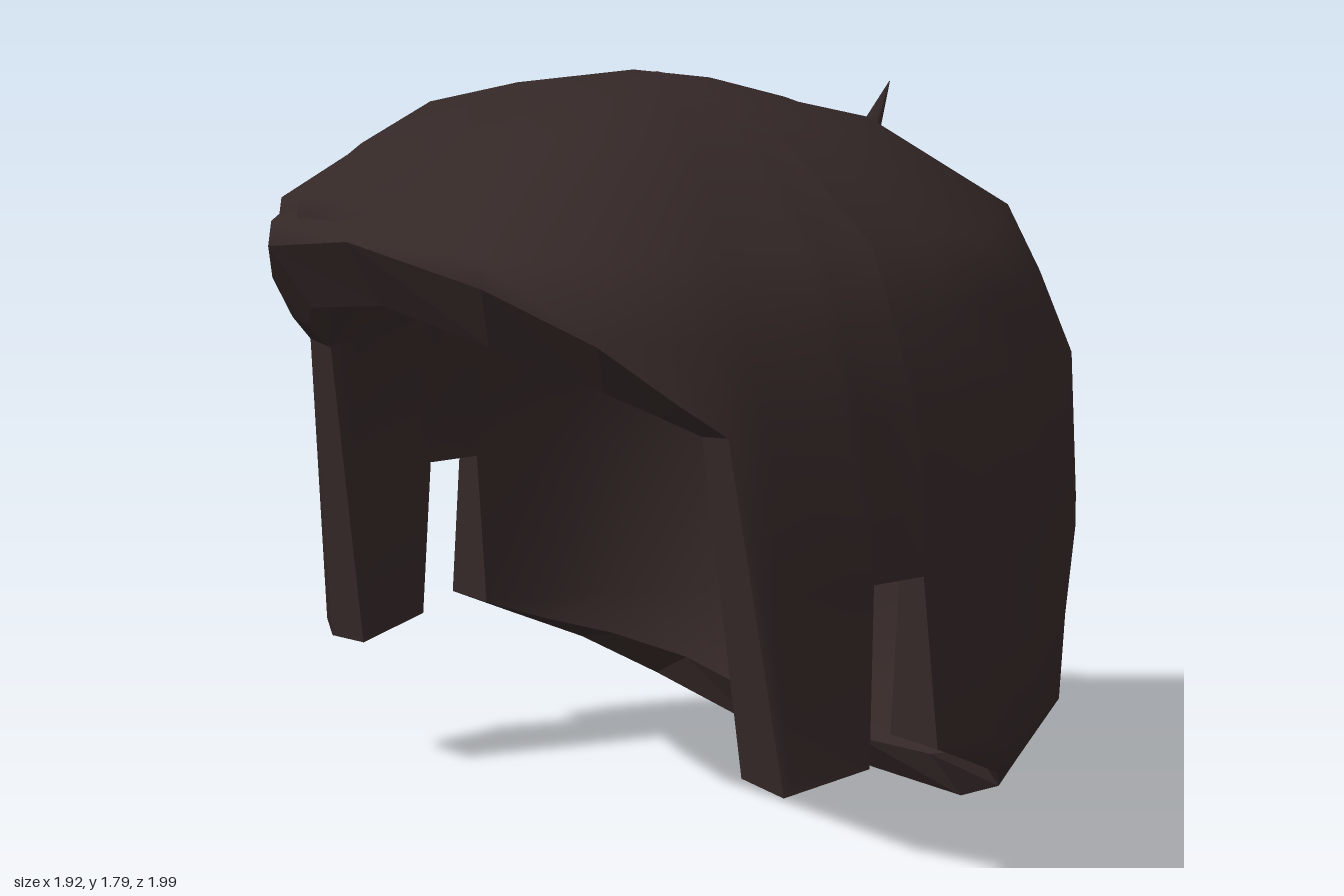
import * as THREE from 'three';

const hairMat = new THREE.MeshStandardMaterial({ color: 0x342827 });
hairMat.name = 'darkBrownHair';

const MID_Z = 0.15;
// Levels: height, half width, front z, back z.
// Columns from front centre to back centre: front/back fraction, height of lower edge
// (fringe, sideburn, ear notch, nape)
const OUTER = {
  levels: [
    [1.79, 0, 0.15, 0.15], [1.675, 0.43, 0.65, -0.36], [1.46, 0.725, 1, -0.71],
    [1.3, 0.8, 1, -0.79], [1.1, 0.88, 1, -0.87], [0.75, 0.91, 1, -0.88],
    [0.55, 0.925, 1, -0.82], [0.36, 0.96, 1, -0.755], [0.2, 0.86, 1, -0.66], [0, 0.75, 1, -0.53],
  ],
  columns: [
    [1, 1.46], [0.93, 1.4], [0.765, 1.29], [0.62, 1.17], [0.52, 1.1],
    [0.412, 0.32], [0.176, 0.36],
    [0.118, 0.75], [-0.04, 0.75],
    [-0.05, 0.37], [-0.23, 0.3], [-0.43, 0.23], [-0.64, 0.14], [-0.886, 0.03], [-1, 0],
  ],
};
const INNER = {
  levels: [
    [1.64, 0, 0.15, 0.15], [1.54, 0.35, 0.53, -0.27], [1.38, 0.6, 0.86, -0.57],
    [1.31, 0.66, 0.91, -0.63], [1.1, 0.8, 0.91, -0.72], [0.75, 0.83, 0.91, -0.74],
    [0.36, 0.8, 0.91, -0.64], [0.2, 0.76, 0.91, -0.56], [0.09, 0.68, 0.91, -0.47],
  ],
  columns: [
    [1, 1.31], [0.95, 1.26], [0.78, 1.18], [0.67, 1.13], [0.58, 1.09],
    [0.46, 0.33], [0.197, 0.37],
    [0.132, 0.75], [-0.046, 0.75],
    [-0.057, 0.37], [-0.27, 0.31], [-0.5, 0.26], [-0.72, 0.2], [-0.92, 0.12], [-1, 0.09],
  ],
};

function domePoint(levels, s, y, side) {
  let k = 0;
  while (k < levels.length - 2 && levels[k + 1][0] > y) k++;
  const a = levels[k], b = levels[k + 1], t = (a[0] - y) / (a[0] - b[0]);
  const [w, f, r] = [1, 2, 3].map((i) => a[i] + (b[i] - a[i]) * t);
  const n = s > 0 ? 3 : 2.2;
  const x = w * Math.pow(Math.max(0, 1 - Math.pow(Math.abs(s), n)), 1 / n);
  return [side * x, y, MID_Z + s * (s > 0 ? f - MID_Z : MID_Z - r)];
}

function geometry(positions, index) {
  const g = new THREE.BufferGeometry();
  g.setAttribute('position', new THREE.Float32BufferAttribute(positions, 3));
  g.setIndex(index);
  g.computeVertexNormals();
  return g;
}

function part(name, geo) {
  const m = new THREE.Mesh(geo, hairMat);
  m.name = name;
  return m;
}

// Smooth dome whose columns each stop at their own lower edge
function buildDome(name, { levels, columns }, inward) {
  const cols = columns.map((c) => [...c, 1]);
  for (let i = columns.length - 2; i > 0; i--) cols.push([...columns[i], -1]);
  const pos = [], index = [], seen = new Map();
  const addPoint = (p) => {
    const key = p.map((v) => Math.round(v * 1e4) + 0).join();
    if (!seen.has(key)) {
      seen.set(key, pos.length / 3);
      pos.push(...p);
    }
    return seen.get(key);
  };
  const grid = cols.map(([s, rim, side]) =>
    levels.map((l) => addPoint(domePoint(levels, s, Math.max(l[0], rim), side))));
  const tri = (a, b, c) => {
    if (a !== b && b !== c && a !== c) index.push(...(inward ? [a, c, b] : [a, b, c]));
  };
  grid.forEach((col, i) => {
    const next = grid[(i + 1) % grid.length];
    for (let j = 0; j < levels.length - 1; j++) {
      tri(col[j], col[j + 1], next[j + 1]);
      tri(col[j], next[j + 1], next[j]);
    }
  });
  const rim = cols.map(([s, y, side]) => domePoint(levels, s, y, side));
  return { mesh: part(name, geometry(pos, index)), rim };
}

// Flat faces joining the lower edges of the outer and inner domes
function buildEdge(outer, inner) {
  const pos = [];
  outer.forEach((p, i) => {
    const j = (i + 1) % outer.length;
    pos.push(...p, ...inner[i], ...inner[j], ...p, ...inner[j], ...outer[j]);
  });
  return part('hairEdge', geometry(pos, [...Array(pos.length / 3).keys()]));
}

// Raised swath running front to back beside the parting, following the dome
function buildSwath(name, dome, section) {
  const angles = [34, 37, 48, 60, 75, 90, 105, 120, 135, 150, 162, 170, 172];
  const ray = new THREE.Raycaster(), pos = [], index = [];
  angles.forEach((deg, i) => {
    const a = THREE.MathUtils.degToRad(deg);
    const dir = new THREE.Vector3(0, Math.sin(a), Math.cos(a));
    const end = i === 0 || i === angles.length - 1;
    section.forEach(([x, h]) => {
      ray.set(new THREE.Vector3(x, 0.9, 0.1).addScaledVector(dir, 3), dir.clone().negate());
      const p = ray.intersectObject(dome)[0].point.clone().addScaledVector(dir, end ? -0.015 : h);
      pos.push(p.x, p.y, p.z);
    });
  });
  const n = section.length;
  for (let i = 0; i < angles.length - 1; i++) {
    for (let j = 0; j < n - 1; j++) {
      const a = i * n + j, b = a + 1, c = a + n, d = c + 1;
      index.push(a, b, d, a, d, c);
    }
  }
  return part(name, geometry(pos, index));
}

// Pointed, bent lock of hair with four sides
function buildTuft(name, points, radii) {
  const path = points.map((p) => new THREE.Vector3(...p));
  const pos = [], index = [], sides = 4;
  path.forEach((p, i) => {
    const t = path[Math.min(i + 1, path.length - 1)].clone().sub(path[Math.max(i - 1, 0)]).normalize();
    const u = new THREE.Vector3(1, 0, 0.3).cross(t).normalize();
    const v = t.clone().cross(u);
    for (let k = 0; k < sides; k++) {
      const a = (k / sides) * Math.PI * 2;
      const q = p.clone().addScaledVector(u, radii[i] * Math.cos(a)).addScaledVector(v, radii[i] * Math.sin(a));
      pos.push(q.x, q.y, q.z);
    }
  });
  for (let i = 0; i < path.length - 1; i++) {
    for (let k = 0; k < sides; k++) {
      const a = i * sides + k, b = i * sides + ((k + 1) % sides);
      index.push(a, b, b + sides, a, b + sides, a + sides);
    }
  }
  return part(name, geometry(pos, index));
}

export function createModel() {
  const group = new THREE.Group();
  group.name = 'hair';
  const outer = buildDome('outerHair', OUTER, false);
  const inner = buildDome('innerHair', INNER, true);
  group.add(outer.mesh, inner.mesh, buildEdge(outer.rim, inner.rim));

  // Parting: high swath on the left, low ridge on the right
  group.add(buildSwath('partingLeft', outer.mesh, [[-0.325, -0.02], [-0.31, 0.05], [-0.16, 0.035], [-0.01, -0.005]]));
  group.add(buildSwath('partingRight', outer.mesh, [[-0.6, -0.01], [-0.42, 0.04], [-0.33, -0.005]]));

  // Two loose locks at the back of the crown
  group.add(buildTuft('uprightTuft',
    [[-0.32, 1.42, -0.63], [-0.29, 1.55, -0.73], [-0.27, 1.7, -0.79]], [0.06, 0.035, 0.001]));
  group.add(buildTuft('longTuft',
    [[-0.32, 1.4, -0.63], [-0.42, 1.49, -0.77], [-0.61, 1.49, -0.99]], [0.07, 0.04, 0.001]));
  return group;
}
